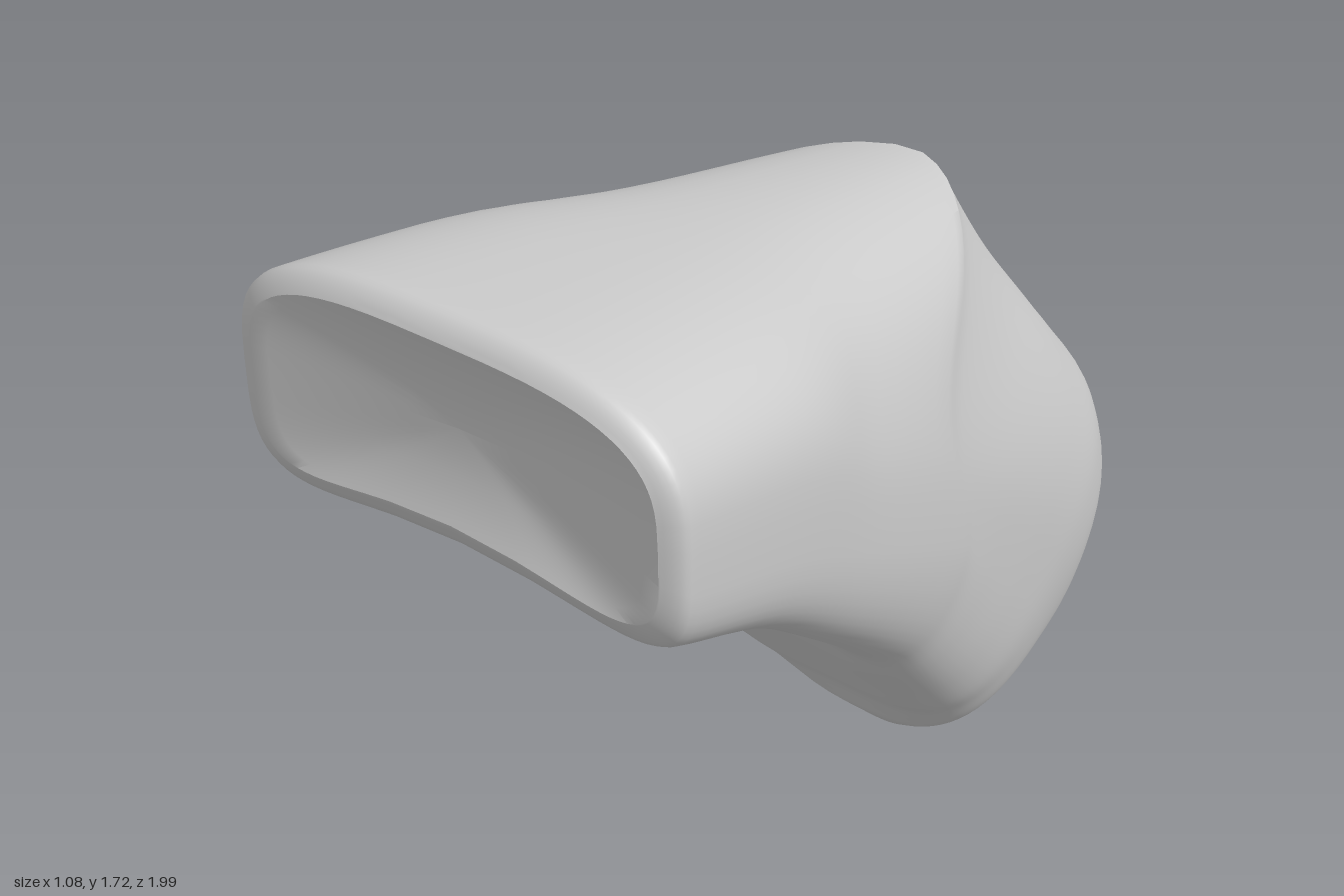
import * as THREE from 'three';
import { toCreasedNormals } from 'three/addons/utils/BufferGeometryUtils.js';

// Cross-sections from the blunt front, over the ridge, to the pointed foot:
// top z, top y, bottom z, bottom y, half width
const SECTIONS = [
  [0.99, 1.68, 0.99, 1.21, 0.49],
  [0.94, 1.72, 0.96, 1.15, 0.54],
  [0.5, 1.655, 0.67, 0.99, 0.53],
  [0.1, 1.58, 0.4, 0.77, 0.505],
  [-0.44, 1.475, 0.1, 0.49, 0.465],
  [-0.6, 1.23, 0.02, 0.4, 0.445],
  [-0.8, 0.97, -0.08, 0.29, 0.425],
  [-0.94, 0.79, -0.16, 0.2, 0.405],
  [-1, 0.62, -0.22, 0.14, 0.375],
  [-0.96, 0.44, -0.26, 0.09, 0.335],
  [-0.87, 0.29, -0.29, 0.05, 0.28],
  [-0.74, 0.16, -0.32, 0.02, 0.2],
  [-0.55, 0.07, -0.335, 0.005, 0.11],
  [-0.35, 0.005, -0.345, 0, 0.005],
];
const LAST = SECTIONS.length - 1, RIDGE = 4, SIDES = 72, STEPS = 6;

// Slope that never overshoots; the top stops at the ridge to leave a crisp corner
function slope(i, k) {
  if (i === 0 || i === LAST || (i === RIDGE && k < 2)) return 0;
  const a = SECTIONS[i][k] - SECTIONS[i - 1][k], b = SECTIONS[i + 1][k] - SECTIONS[i][k];
  return a * b > 0 ? 2 * a * b / (a + b) : 0;
}

// Smooth section at any position between the first and the last
function sectionAt(position) {
  const i = Math.min(Math.floor(position), LAST - 1), t = position - i;
  const s = t * t, c = s * t;
  return SECTIONS[i].map((p, k) => (2 * c - 3 * s + 1) * p + (c - 2 * s + t) * slope(i, k)
    + (3 * s - 2 * c) * SECTIONS[i + 1][k] + (c - s) * slope(i + 1, k));
}

const power = (v, n) => Math.sign(v) * Math.pow(Math.abs(v), 2 / n);

// One closed loop: rounded above, squarer and hollowed below, bowed forward at the ridge
function loop(position) {
  const [tz, ty, bz, by, halfWidth] = sectionAt(position);
  const w = position / LAST;
  const centre = 0.06 * w ** 3 - 0.03 * Math.sin(Math.PI * w);
  const topSquareness = 2.2 + (1 - w) ** 3, bottomSquareness = 4.2 - 2 * w * w;
  const hollow = 0.34 * (1 - w) ** 2.4;
  const bow = 0.4 * Math.exp(-(((position - RIDGE) / 1.3) ** 2));
  return Array.from({ length: SIDES }, (_, j) => {
    const a = j / SIDES * Math.PI * 2;
    const n = Math.sin(a) >= 0 ? topSquareness : bottomSquareness;
    const x = power(Math.cos(a), n);
    let u = power(Math.sin(a), n);
    const forward = bow * Math.abs(x - 0.1) ** 1.6 * THREE.MathUtils.smoothstep(u, -0.5, 0.7);
    if (u < 0) u *= 1 - hollow * (1 - x * x) ** 1.3;
    const f = (u + 1) / 2;
    return new THREE.Vector3(centre + halfWidth * x, by + (ty - by) * f, bz + (tz - bz) * f + forward);
  });
}

export function createModel() {
  // Dished front face
  const rim = loop(0);
  const rings = [0.002, 0.25, 0.5, 0.75, 0.92].map(s => rim.map(p => new THREE.Vector3(
    p.x * s,
    THREE.MathUtils.lerp(1.48, p.y, s),
    0.95 + 0.04 * s * s
  )));

  // Body from the front rim to the foot
  for (let i = 0; i <= LAST * STEPS; i++) rings.push(loop(i / STEPS));

  // Skin between neighbouring loops
  const index = [];
  for (let i = 0; i < rings.length - 1; i++) {
    for (let j = 0; j < SIDES; j++) {
      const k = (j + 1) % SIDES, a = i * SIDES, b = a + SIDES;
      index.push(a + j, b + j, b + k, a + j, b + k, a + k);
    }
  }
  const geometry = new THREE.BufferGeometry().setFromPoints(rings.flat());
  geometry.setIndex(index);

  const body = new THREE.Mesh(
    toCreasedNormals(geometry, 0.6),
    new THREE.MeshStandardMaterial({ color: 0xcccccc })
  );
  body.name = 'body';

  const group = new THREE.Group();
  group.name = 'hollowedWedge';
  group.add(body);
  return group;
}
